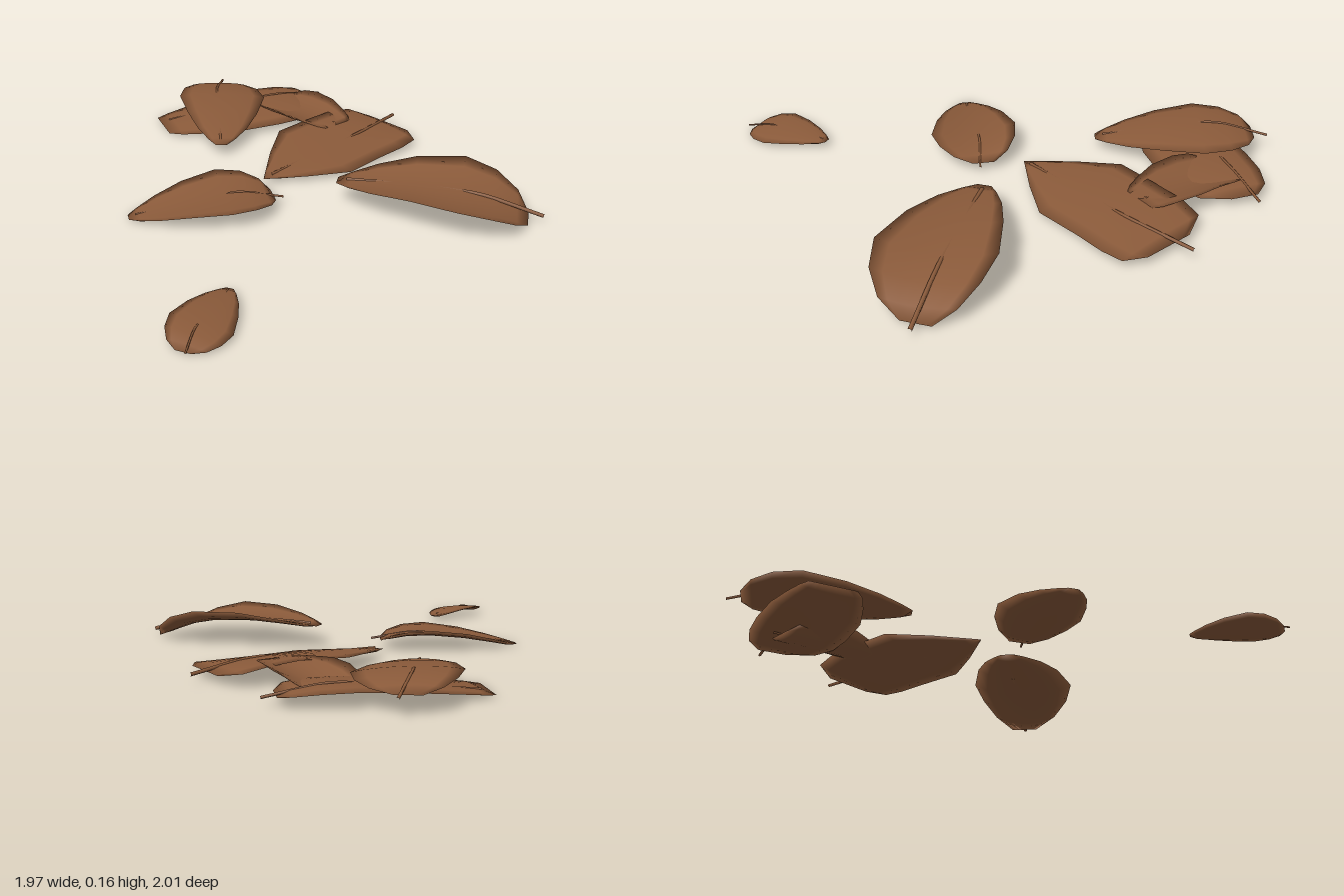
import * as THREE from 'three';

const leafBrown = new THREE.MeshStandardMaterial({ color: 0x8a5a3a });
leafBrown.name = 'leafBrown';

const COLS = 8;

// Half-width of each outline at these steps from base to tip
const STEPS = [0, 0.06, 0.18, 0.35, 0.6, 0.8, 0.93, 1];
const OUTLINES = {
  oval: [0.25, 0.62, 0.88, 1, 0.8, 0.55, 0.3, 0.12],
  pointed: [0.5, 0.92, 0.97, 0.95, 1, 0.55, 0.2, 0.01],
  blunt: [0.3, 0.75, 0.95, 1, 0.97, 0.8, 0.65, 0.5],
};

// Point on a leaf: t runs from base to tip, s from the left edge to the right.
// Both edges rise by their own amount; the middle sags into a cup (positive)
// or swells into a dome (negative).
function surfacePoint({ base, tip, width, rise, sag }, t, s, half) {
  const a = new THREE.Vector3(...base), b = new THREE.Vector3(...tip);
  const across = new THREE.Vector3(a.z - b.z, 0, b.x - a.x).normalize();
  const p = a.lerp(b, t).addScaledVector(across, half * THREE.MathUtils.lerp(width[0], -width[1], s));
  p.y += Math.sin(Math.PI * t ** 0.7) * (THREE.MathUtils.lerp(rise[0], rise[1], s) - sag * 4 * s * (1 - s));
  return p;
}

// Blade: a thin closed shell whose upper and lower sheets share the rim
function blade(spec) {
  const pos = [], idx = [], top = [], bottom = [];
  const last = STEPS.length - 1;
  const push = (p, dy) => pos.push(p.x, Math.max(0.003, p.y + dy), p.z) / 3 - 1;
  STEPS.forEach((t, i) => {
    top.push([]);
    bottom.push([]);
    for (let j = 0; j <= COLS; j++) {
      const s = j / COLS;
      const rim = i === 0 || i === last || j === 0 || j === COLS;
      const full = rim ? 0 : Math.sqrt(4 * s * (1 - s));
      const p = surfacePoint(spec, t, s, OUTLINES[spec.outline][i]);
      top[i][j] = push(p, 0.005 * full);
      bottom[i][j] = rim ? top[i][j] : push(p, -0.013 * full);
    }
  });
  for (let i = 1; i <= last; i++) {
    for (let j = 1; j <= COLS; j++) {
      const quad = (g) => [g[i - 1][j - 1], g[i - 1][j], g[i][j], g[i][j - 1]];
      const [a, b, c, d] = quad(top), [e, f, g, h] = quad(bottom);
      idx.push(a, d, b, b, d, c, e, f, h, f, g, h);
    }
  }
  const geo = new THREE.BufferGeometry();
  geo.setAttribute('position', new THREE.Float32BufferAttribute(pos, 3));
  geo.setIndex(idx);
  geo.computeVertexNormals();
  const mesh = new THREE.Mesh(geo, leafBrown);
  mesh.name = 'blade';
  return mesh;
}

// Stalk: lies on the blade near both ends and sinks into it as the midrib
function stalk(spec) {
  const lifts = [[0.25, 0.005], [0.4, -0.004], [0.7, -0.004], [0.95, 0.004]];
  const points = lifts.map(([t, dy]) => {
    const p = surfacePoint(spec, t, spec.width[0] / (spec.width[0] + spec.width[1]), 1);
    p.y += dy;
    return p;
  });
  const path = new THREE.CatmullRomCurve3([new THREE.Vector3(...spec.stalkEnd), ...points]);
  const mesh = new THREE.Mesh(new THREE.TubeGeometry(path, 16, spec.radius, 6), leafBrown);
  mesh.name = 'stalk';
  return mesh;
}

const leaves = [
  {
    name: 'smallLeaf', outline: 'oval', base: [-0.97, 0.008, 0.84], tip: [-0.62, 0.03, 0.64],
    width: [0.13, 0.12], rise: [0.005, 0.035], sag: -0.005, stalkEnd: [-0.98, 0.02, 0.87], radius: 0.004,
  },
  {
    name: 'leftLeaf', outline: 'oval', base: [-0.035, 0.04, 0.16], tip: [-0.61, 0.008, -0.1],
    width: [0.175, 0.21], rise: [0.075, 0.05], sag: 0.025, stalkEnd: [-0.01, 0.04, 0.2], radius: 0.005,
  },
  {
    name: 'frontLeaf', outline: 'oval', base: [0.72, 0.012, 0.94], tip: [0.2, 0.1, 0.31],
    width: [0.222, 0.275], rise: [0.125, 0.1], sag: 0.05, stalkEnd: [0.755, 0.03, 0.99], radius: 0.009,
  },
  {
    name: 'middleLeaf', outline: 'pointed', base: [0.9, 0.04, -0.08], tip: [0.04, 0.03, 0],
    width: [0.26, 0.21], rise: [0.05, -0.012], sag: -0.01, stalkEnd: [0.98, 0.045, -0.15], radius: 0.008,
  },
  {
    name: 'lowerBackLeaf', outline: 'blunt', base: [0.82, 0.04, -0.61], tip: [0.04, 0.012, -0.84],
    width: [0.13, 0.28], rise: [0.035, 0.005], sag: -0.02, stalkEnd: [0.88, 0.04, -0.61], radius: 0.006,
  },
  {
    name: 'upperBackLeaf', outline: 'oval', base: [0.47, 0.075, -0.965], tip: [0.07, 0.052, -0.37],
    width: [0.19, 0.237], rise: [0.05, 0.03], sag: -0.012, stalkEnd: [0.535, 0.075, -0.995], radius: 0.006,
  },
  {
    name: 'curledLeaf', outline: 'blunt', base: [0.62, 0.04, -0.67], tip: [0.63, 0.08, -0.17],
    width: [0.165, 0.15], rise: [0.045, 0.055], sag: 0.055, stalkEnd: [0.63, 0.045, -0.7], radius: 0.005,
  },
];

export function createModel() {
  const model = new THREE.Group();
  model.name = 'fallenLeaves';
  for (const spec of leaves) {
    const leaf = new THREE.Group();
    leaf.name = spec.name;
    leaf.add(blade(spec), stalk(spec));
    model.add(leaf);
  }
  return model;
}
